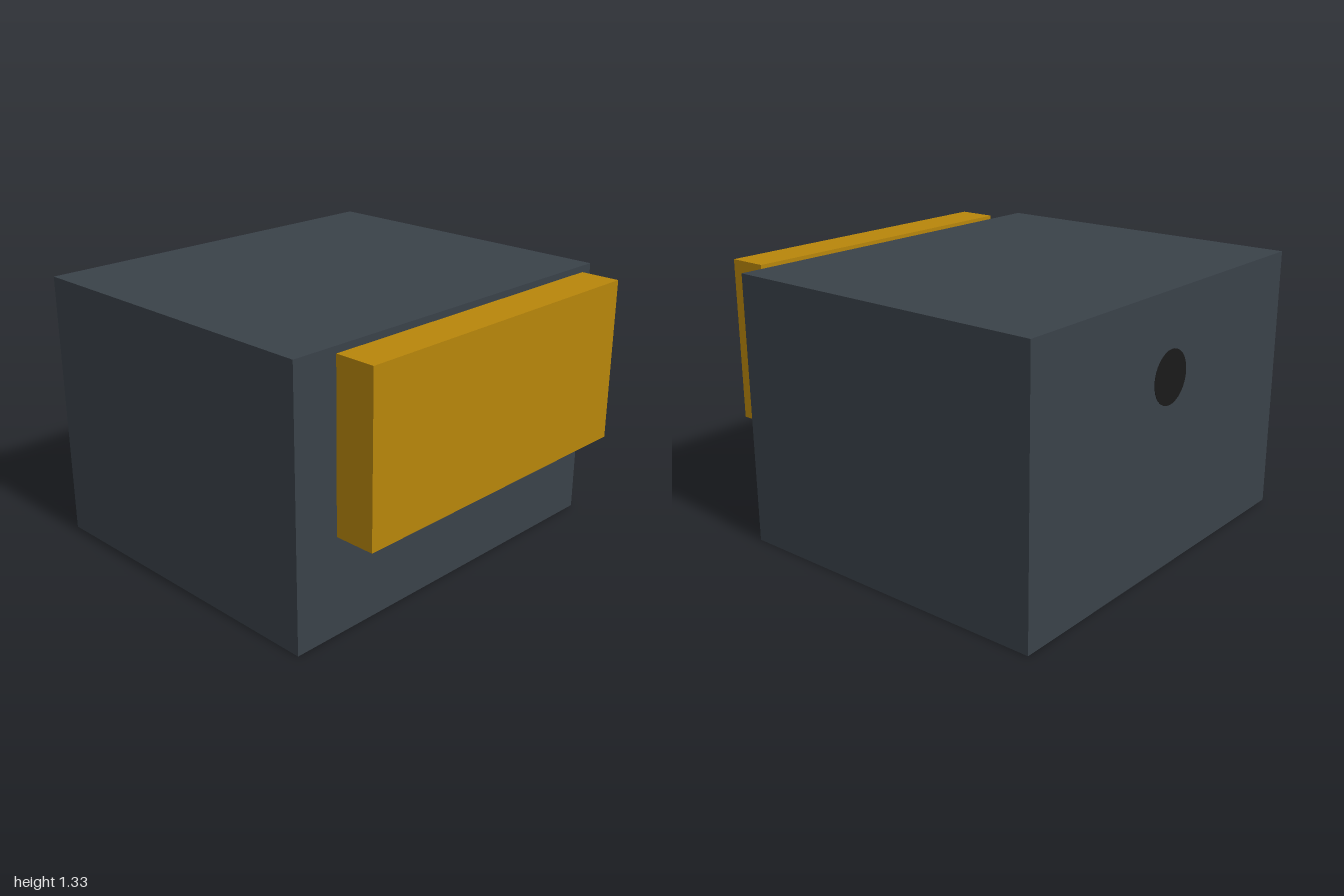
import * as THREE from 'three';

const paint = (color) => new THREE.MeshStandardMaterial({ color });

// Box given by its min and max corners
function block(name, min, max, material) {
  const size = max.map((v, i) => v - min[i]);
  const mesh = new THREE.Mesh(new THREE.BoxGeometry(...size), material);
  mesh.position.set(...max.map((v, i) => (v + min[i]) / 2));
  mesh.name = name;
  return mesh;
}

export function createModel() {
  const model = new THREE.Group();
  model.name = 'boxWithSidePlate';

  // Main housing
  model.add(block('body', [-0.967, 0, -1], [0.7, 1.333, 1], paint(0x3a4249)));

  // Plate standing off the left side, level with the top
  model.add(block('sidePlate', [0.767, 0.533, -0.833], [0.967, 1.333, 0.833], paint(0xb8860b)));

  // Dark round port, all but flush with the right side
  const port = new THREE.Mesh(new THREE.CylinderGeometry(0.13, 0.13, 0.1, 32), paint(0x1a1a1a));
  port.rotation.z = Math.PI / 2;
  port.position.set(-0.919, 0.933, 0);
  port.name = 'port';
  model.add(port);

  return model;
}
